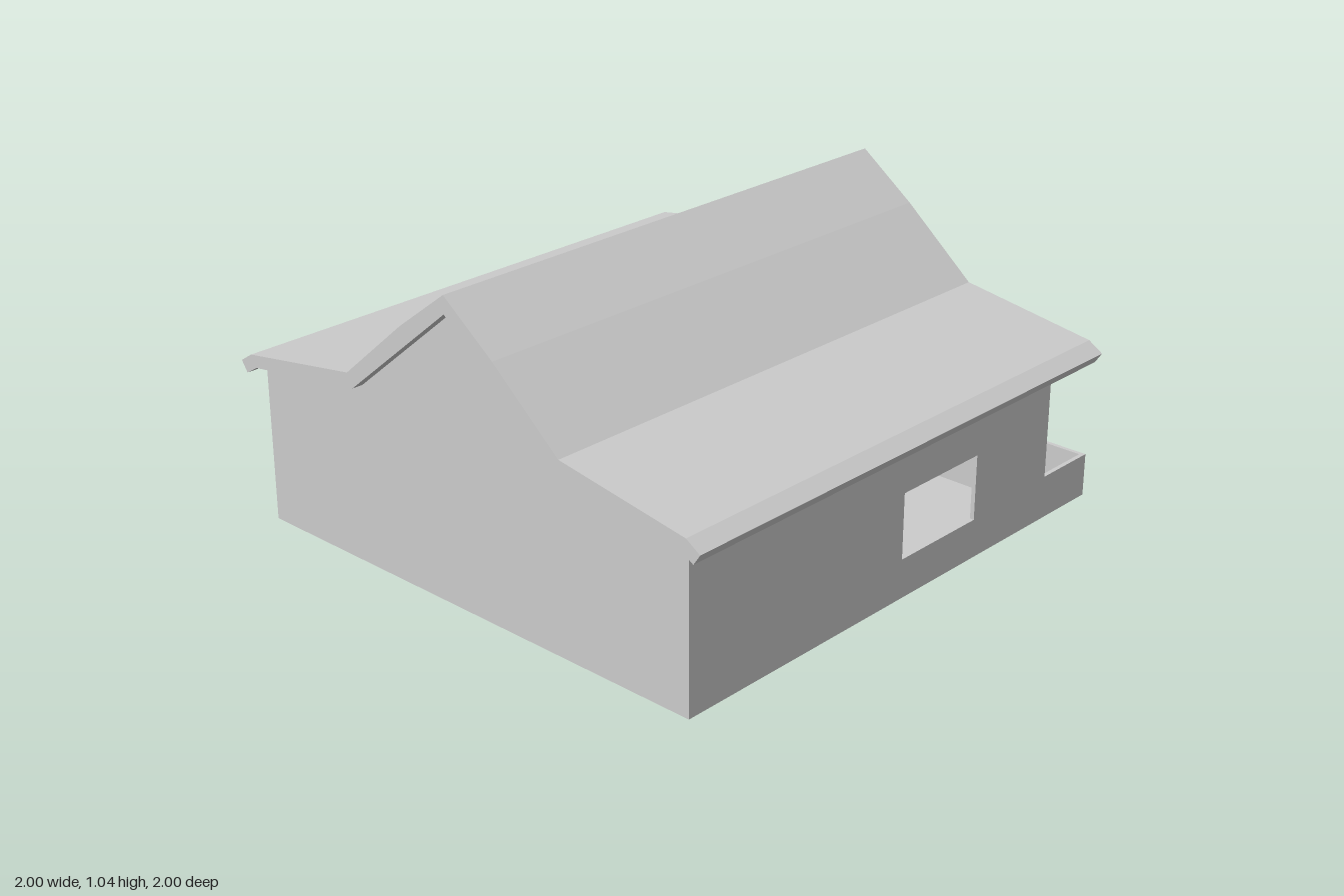
import * as THREE from 'three';

const material = new THREE.MeshStandardMaterial({ color: 0xcccccc, flatShading: true });
const T = 0.015;        // wall thickness
const HALF = 0.923;     // half depth of the house in z
const BACK = -0.96, GABLE = 0.76, PORCH = 1;
const FLOOR = 0.025, RAIL = 0.15, EAVE = 0.55;

const toShape = (points) => new THREE.Shape(points.map(([x, y]) => new THREE.Vector2(x, y)));

// Rectangular opening
const opening = (x0, x1, y0, y1) =>
  new THREE.Path([[x0, y0], [x0, y1], [x1, y1], [x1, y0]].map(([x, y]) => new THREE.Vector2(x, y)));

// Mirror half a profile, given from the outer edge to the centre line
const mirrored = (half) => [
  ...half,
  ...half.filter(([z]) => z !== 0).reverse().map(([z, y]) => [-z, y]),
];

function extrude(name, shape, depth) {
  const geometry = new THREE.ExtrudeGeometry(shape, { depth, bevelEnabled: false });
  const mesh = new THREE.Mesh(geometry, material);
  mesh.name = name;
  return mesh;
}

// Panel drawn in the z-y plane, running from x0 to x1
function crossPanel(name, shape, x0, x1) {
  const mesh = extrude(name, shape, x1 - x0);
  mesh.geometry.rotateY(Math.PI / 2);
  mesh.position.x = x0;
  return mesh;
}

export function createModel() {
  const house = new THREE.Group();
  house.name = 'house';
  const inner = HALF - T;

  // Floor slab for the room and porch
  const floor = new THREE.Mesh(
    new THREE.BoxGeometry(PORCH - BACK - 2 * T, FLOOR, 2 * inner), material);
  floor.name = 'floor';
  floor.position.set((PORCH + BACK) / 2, FLOOR / 2, 0);
  house.add(floor);

  // Long side walls, stepping down to the porch rail
  for (const [name, z] of [['leftSideWall', inner], ['rightSideWall', -HALF]]) {
    const shape = toShape([
      [BACK, 0], [PORCH, 0], [PORCH, RAIL], [GABLE, RAIL], [GABLE, EAVE], [BACK, EAVE],
    ]);
    shape.holes.push(opening(0, 0.37, 0.135, 0.36));
    const wall = extrude(name, shape, T);
    wall.position.z = z;
    house.add(wall);
  }

  // Closed gable wall
  const gableTop = [[inner, 0.552], [0.44, 0.622], [0, 0.982]];
  house.add(crossPanel('closedGableWall',
    toShape(mirrored([[inner, 0], ...gableTop])
      ), BACK, BACK + T));

  // Porch gable wall with a doorway and two windows
  const doorGable = toShape([
    ...mirrored([[inner, FLOOR], ...gableTop]),
    [-0.185, FLOOR], [-0.185, 0.36], [0.185, 0.36], [0.185, FLOOR],
  ]);
  doorGable.holes.push(opening(0.27, 0.44, 0.135, 0.36), opening(-0.44, -0.27, 0.135, 0.36));
  house.add(crossPanel('doorGableWall', doorGable, GABLE - T, GABLE));

  // Low porch rail with an entrance gap
  house.add(crossPanel('porchRail', toShape(mirrored([
    [inner, 0], [inner, RAIL], [0.185, RAIL], [0.185, FLOOR],
  ])), PORCH - T, PORCH));

  // Flared roof with drooping eaves
  const outer = mirrored([[1, 0.557], [0.948, 0.59], [0.462, 0.667], [0.2, 0.89], [0, 1.04]]);
  const under = mirrored([[0.975, 0.52], [0.925, 0.55], [0.44, 0.62], [0, 0.98]]).reverse();
  house.add(crossPanel('roof', toShape([...outer, ...under]), -1, 0.93));

  return house;
}
